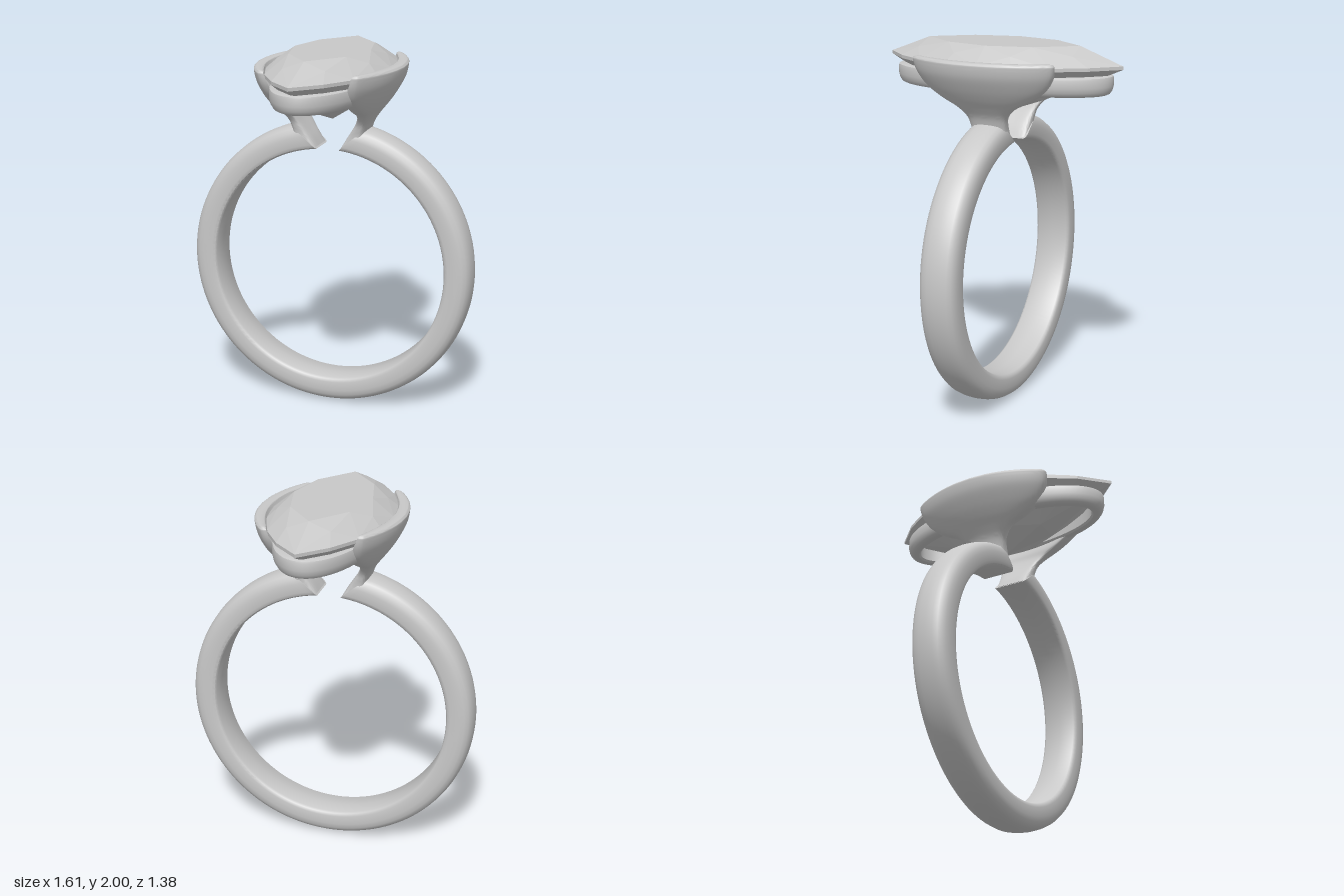
import * as THREE from 'three';
import { toCreasedNormals } from 'three/addons/utils/BufferGeometryUtils.js';
import { ConvexGeometry } from 'three/addons/geometries/ConvexGeometry.js';

const silver = new THREE.MeshStandardMaterial({ color: 0xc8c8c8 });
silver.name = 'silver grey';

// Skin a grid of points; u always wraps round, v wraps when closedV. Faces are turned outward.
function skin(nu, nv, point, closedV, crease) {
  const pos = [], index = [];
  for (let j = 0; j < nv; j++) for (let i = 0; i < nu; i++) pos.push(...point(i, j));
  for (let j = 0; j < (closedV ? nv : nv - 1); j++) {
    for (let i = 0; i < nu; i++) {
      const a = j * nu + i, b = j * nu + (i + 1) % nu;
      const k = ((j + 1) % nv) * nu;
      const c = k + (i + 1) % nu, d = k + i;
      index.push(a, b, c, a, c, d);
    }
  }
  const at = (n) => new THREE.Vector3().fromArray(pos, n * 3);
  let volume = 0;
  for (let t = 0; t < index.length; t += 3) {
    volume += at(index[t]).dot(at(index[t + 1]).cross(at(index[t + 2])));
  }
  if (volume < 0) index.reverse();
  const g = new THREE.BufferGeometry();
  g.setAttribute('position', new THREE.Float32BufferAttribute(pos, 3));
  g.setIndex(index);
  return toCreasedNormals(g, crease);
}

function part(name, geometry) {
  const mesh = new THREE.Mesh(geometry, silver);
  mesh.name = name;
  return mesh;
}

// Open band: a rounded section swept round, with slanted ends at the top
function bandGeometry() {
  const half = [[0.66, 0.088], [0.668, 0.1], [0.685, 0.105], [0.735, 0.105], [0.762, 0.1],
    [0.782, 0.088], [0.795, 0.068], [0.802, 0.04]];
  const section = [[0.66, 0], ...half, [0.805, 0], ...half.map(([r, z]) => [r, -z]).reverse()];
  const steps = 120;
  return skin(section.length, steps + 3, (i, j) => {
    const cap = j === 0 || j === steps + 2;
    const [r, z] = cap ? [0.735, 0] : section[i];
    const t = THREE.MathUtils.clamp((j - 1) / steps, 0, 1);
    const start = THREE.MathUtils.degToRad(5.6 + (r - 0.66) / 0.145 * 9.9);
    const a = start + t * (2 * Math.PI - 2 * start);
    return [r * Math.sin(a), 0.805 + r * Math.cos(a), z];
  }, false, 0.7);
}

// Flared claw: a curved plate that narrows down into the band end
function clawGeometry(side) {
  // height, outer x, inner x, half width in z
  const rows = [[1.47, 0.14, 0.07, 0.098], [1.52, 0.2, 0.098, 0.1], [1.57, 0.212, 0.132, 0.104],
    [1.62, 0.23, 0.165, 0.118], [1.67, 0.265, 0.192, 0.165], [1.72, 0.305, 0.205, 0.262],
    [1.78, 0.346, 0.235, 0.35], [1.85, 0.383, 0.29, 0.395], [1.91, 0.397, 0.328, 0.41],
    [1.926, 0.392, 0.334, 0.405], [1.931, 0.38, 0.345, 0.395]];
  const edges = new THREE.CatmullRomCurve3(rows.map(([y, o, n]) => new THREE.Vector3(o, y, n)), false, 'catmullrom');
  const widths = new THREE.CatmullRomCurve3(rows.map((r) => new THREE.Vector3(r[3], 0, 0)), false, 'catmullrom');
  const steps = 50, nu = 48;
  const soft = (v, p) => Math.sign(v) * Math.abs(v) ** p;
  return skin(nu, steps + 3, (i, j) => {
    const cap = j === 0 || j === steps + 2;
    const t = THREE.MathUtils.clamp((j - 1) / steps, 0, 1);
    const e = edges.getPoint(t), w = widths.getPoint(t).x;
    const a = (i / nu) * 2 * Math.PI;
    const z = w * soft(Math.cos(a), 0.7);
    const thick = cap ? 0 : (e.x - e.z) / 2 * soft(Math.sin(a), 0.45);
    const x = (e.x + e.z) / 2 + thick - 0.68 * z * z;
    return [side * x, e.y, z];
  }, false, 0.9);
}

// Oval collar under the stone: rounded section swept round an ellipse
function collarGeometry() {
  // inset from the outer edge, height
  const profile = [[0.012, 1.855], [0.003, 1.85], [0, 1.84], [0, 1.8], [0.006, 1.775],
    [0.018, 1.757], [0.035, 1.75], [0.065, 1.75], [0.075, 1.76], [0.075, 1.855]];
  const nu = 80;
  return skin(nu, profile.length, (i, j) => {
    const a = (i / nu) * 2 * Math.PI, [d, y] = profile[j];
    return [(0.272 - d) * Math.cos(a), y, (0.63 - d) * Math.sin(a)];
  }, true, 0.7);
}

// Pointed oval stone: table, crown, girdle and pavilion rings wrapped in flat facets
function stoneGeometry() {
  const radius = 0.886, spread = Math.asin(0.69 / radius);
  const outline = (u, scale, y) => {
    const right = u < 0.5, t = (right ? u : u - 0.5) * 2;
    const a = (t * 2 - 1) * spread, s = right ? scale : -scale;
    return new THREE.Vector3(s * (radius * Math.cos(a) - 0.556), y, s * radius * Math.sin(a));
  };
  const points = [new THREE.Vector3(0, 1.615, 0)];
  for (let i = 0; i < 8; i++) {
    points.push(outline(i / 8, 0.65, 2), outline((i + 0.5) / 8, 0.83, 1.958));
    points.push(outline((i + 0.5) / 8, 0.5, 1.712));
  }
  for (let i = 0; i < 16; i++) {
    points.push(outline(i / 16, 1, 1.908), outline(i / 16, 1, 1.89));
  }
  return new ConvexGeometry(points);
}

export function createModel() {
  const ring = new THREE.Group();
  ring.name = 'ring';
  ring.add(
    part('band', bandGeometry()),
    part('leftClaw', clawGeometry(1)),
    part('rightClaw', clawGeometry(-1)),
    part('collar', collarGeometry()),
    part('stone', stoneGeometry()),
  );
  return ring;
}
